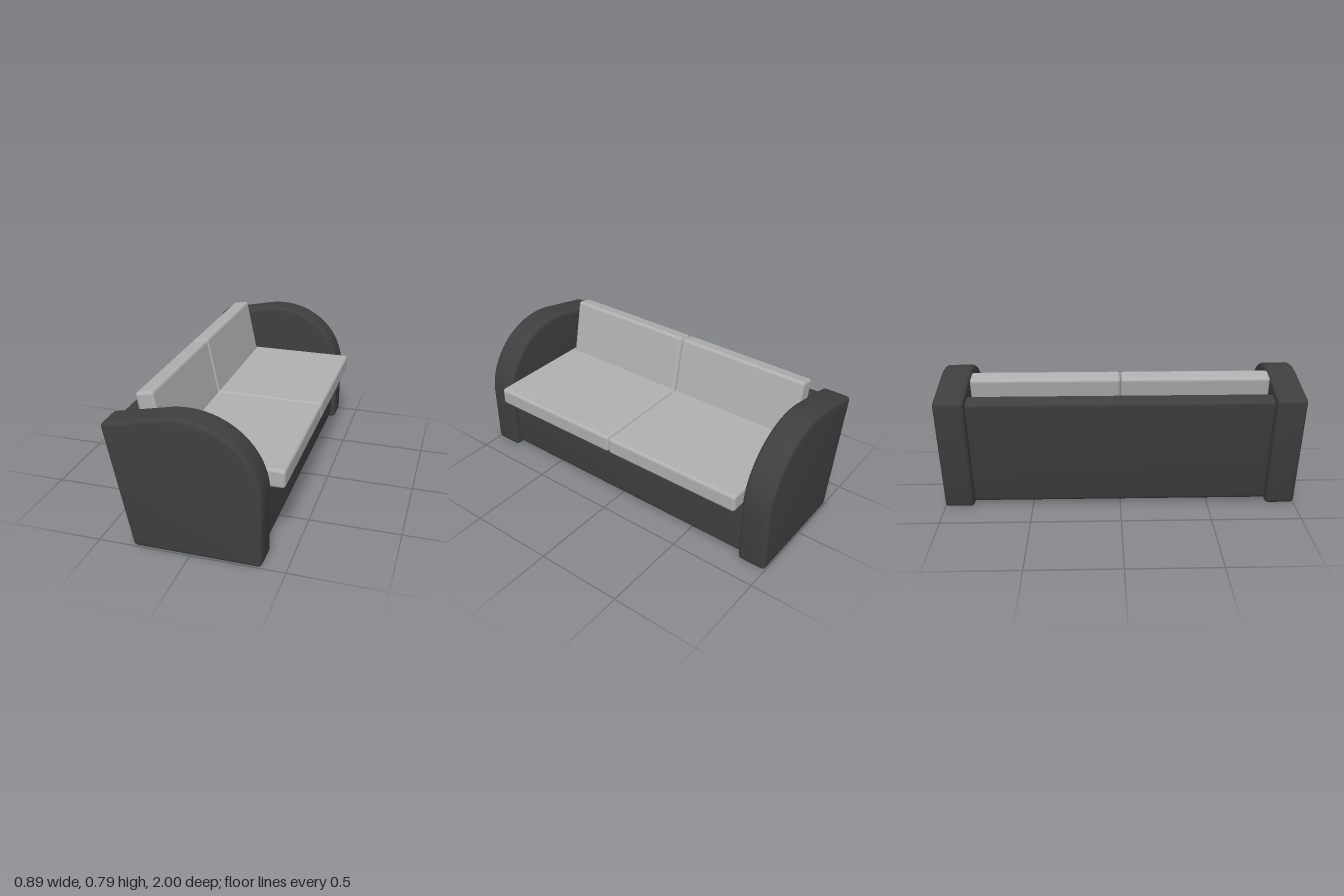
import * as THREE from 'three';
import { RoundedBoxGeometry } from 'three/addons/geometries/RoundedBoxGeometry.js';
import { toCreasedNormals } from 'three/addons/utils/BufferGeometryUtils.js';

const darkFabric = new THREE.MeshStandardMaterial({ color: 0x3f3f3f });
darkFabric.name = 'dark fabric';
const greyFabric = new THREE.MeshStandardMaterial({ color: 0xb0b0b0 });
greyFabric.name = 'grey fabric';

const LEAN = 0.205; // backward tilt of the backrest

// Outline with rounded corners; points are [x, y, cornerRadius]
function roundedOutline(points) {
  const shape = new THREE.Shape();
  const n = points.length;
  points.forEach(([x, y, r = 0], i) => {
    const p = new THREE.Vector2(x, y);
    const toward = (q) => new THREE.Vector2(q[0], q[1]).sub(p).setLength(r).add(p);
    const a = r ? toward(points[(i + n - 1) % n]) : p;
    if (i === 0) shape.moveTo(a.x, a.y);
    else shape.lineTo(a.x, a.y);
    if (r) {
      const b = toward(points[(i + 1) % n]);
      shape.quadraticCurveTo(x, y, b.x, b.y);
    }
  });
  return shape;
}

// Side profile extruded along z, centred, with soft edges
function paddedSlab(points, width, bevel) {
  const geometry = new THREE.ExtrudeGeometry(roundedOutline(points), {
    depth: width - 2 * bevel,
    bevelThickness: bevel,
    bevelSize: bevel,
    bevelOffset: -bevel,
    bevelSegments: 4,
    curveSegments: 5,
  });
  geometry.translate(0, 0, bevel - width / 2);
  return toCreasedNormals(geometry, 0.6);
}

function addMesh(group, name, geometry, material, x = 0, y = 0, z = 0) {
  const mesh = new THREE.Mesh(geometry, material);
  mesh.name = name;
  mesh.position.set(x, y, z);
  group.add(mesh);
  return mesh;
}

export function createModel() {
  const sofa = new THREE.Group();
  sofa.name = 'sofa';

  // Arm profile: slanted back, rounded front shoulder
  const armProfile = [[-0.306, 0, 0.025], [0.376, 0, 0.025]];
  const steps = 22;
  for (let i = 0; i <= steps; i++) {
    const t = (i / steps) * (Math.PI / 2 + 0.2);
    armProfile.push([-0.044 + 0.42 * Math.cos(t), 0.35 + 0.4 * Math.sin(t)]);
  }
  armProfile.push([-0.449, 0.675, 0.025]);
  const armGeometry = paddedSlab(armProfile, 0.165, 0.02);

  // Base and backrest frame in one L-shaped profile
  const frameProfile = [
    [-0.284, 0.025, 0.02], [0.348, 0.025, 0.02], [0.348, 0.366, 0.02],
    [-0.262, 0.366], [-0.328, 0.677, 0.015], [-0.418, 0.658, 0.02],
  ];
  addMesh(sofa, 'frame', paddedSlab(frameProfile, 1.67, 0.015), darkFabric);

  const seatGeometry = new RoundedBoxGeometry(0.705, 0.102, 0.832, 4, 0.018);
  const backGeometry = new RoundedBoxGeometry(0.1, 0.36, 0.808, 4, 0.018);

  for (const side of [1, -1]) {
    const label = side > 0 ? 'near' : 'far';
    addMesh(sofa, `${label}Arm`, armGeometry, darkFabric, 0, 0, side * 0.9175);
    addMesh(sofa, `${label}SeatCushion`, seatGeometry, greyFabric, 0.092, 0.415, side * 0.417);
    const back = addMesh(sofa, `${label}BackCushion`, backGeometry, greyFabric, -0.258, 0.603, side * 0.405);
    back.rotation.z = LEAN;
  }
  return sofa;
}
